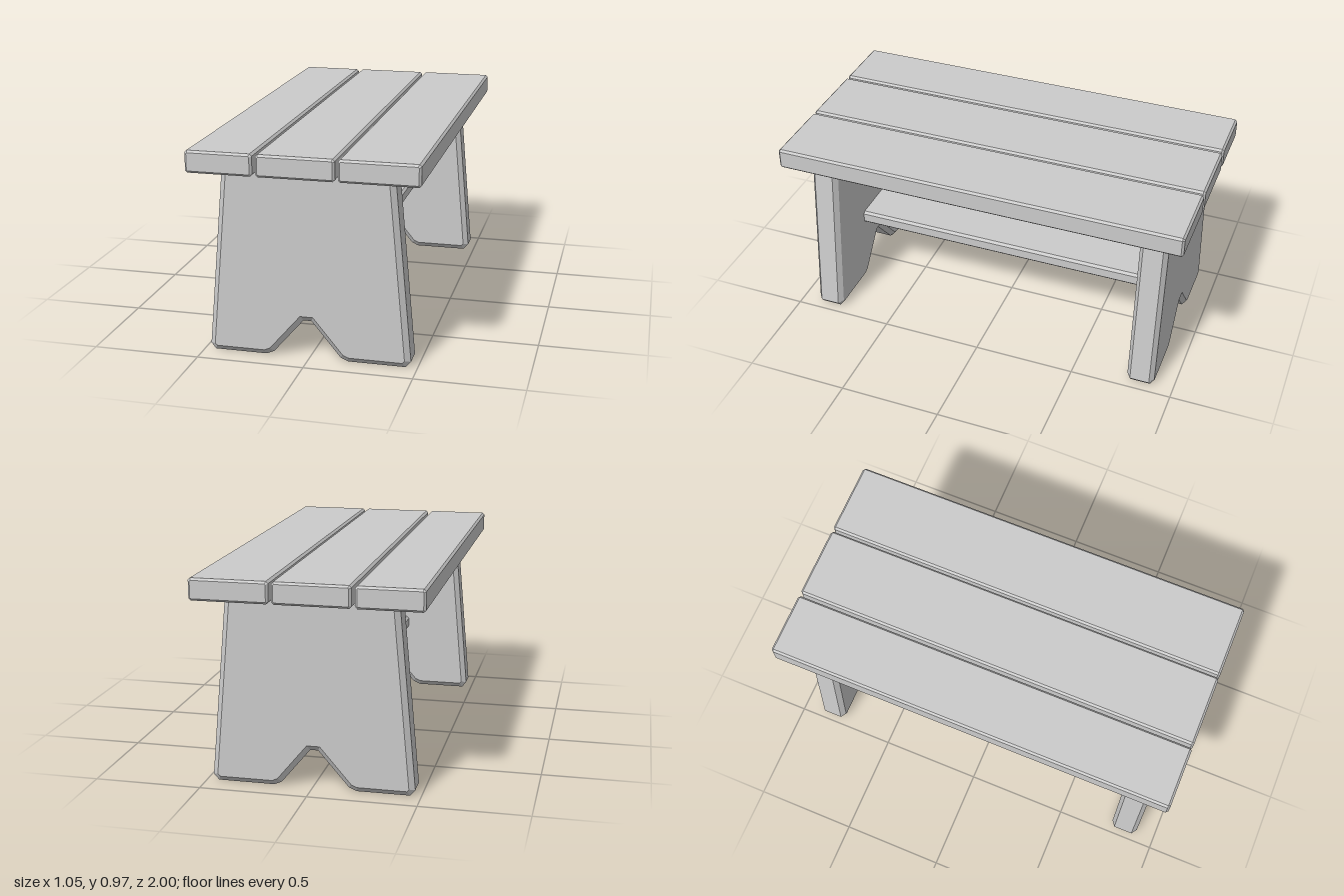
import * as THREE from 'three';

const material = new THREE.MeshStandardMaterial({ color: 0xcccccc, flatShading: true });

// Board cut from an outline in the xy plane, chamfered inside its bounds, spanning z0..z1
function board(name, points, z0, z1, chamfer, chamferDepth = chamfer) {
  const shape = new THREE.Shape(points.map(([x, y]) => new THREE.Vector2(x, y)));
  const geometry = new THREE.ExtrudeGeometry(shape, {
    depth: z1 - z0 - 2 * chamferDepth,
    bevelEnabled: true,
    bevelSegments: 1,
    bevelSize: chamfer,
    bevelOffset: -chamfer,
    bevelThickness: chamferDepth,
  });
  geometry.translate(0, 0, z0 + chamferDepth);
  const mesh = new THREE.Mesh(geometry, material);
  mesh.name = name;
  return mesh;
}

// Rectangle with cut corners
function cutRect(x0, x1, y0, y1, c) {
  return [
    [x0 + c, y0], [x1 - c, y0], [x1, y0 + c], [x1, y1 - c],
    [x1 - c, y1], [x0 + c, y1], [x0, y1 - c], [x0, y0 + c],
  ];
}

export function createModel() {
  const bench = new THREE.Group();
  bench.name = 'bench';

  // Three seat planks of slightly different widths
  const planks = [[-0.527, -0.22], [-0.205, 0.15], [0.163, 0.526]];
  planks.forEach(([x0, x1], i) => {
    bench.add(board(`seatPlank${i + 1}`, cutRect(x0, x1, 0.87, 0.972, 0.01), -1, 1, 0.01));
  });

  // Tapered end legs with a notch cut between the feet
  const legOutline = [
    [-0.45, 0], [-0.205, 0], [-0.168, 0.016], [-0.027, 0.18],
    [0.01, 0.18], [0.145, 0.016], [0.18, 0], [0.445, 0],
    [0.47, 0.028], [0.392, 0.893], [-0.394, 0.893], [-0.472, 0.028],
  ];
  bench.add(board('frontLeg', legOutline, 0.77, 0.905, 0.025, 0.02));
  bench.add(board('backLeg', legOutline, -0.905, -0.77, 0.025, 0.02));

  // Stretcher board joining the legs, its ends let into them
  bench.add(board('stretcher', cutRect(-0.14, 0.15, 0.335, 0.403, 0.012), -0.79, 0.79, 0.01));

  return bench;
}
